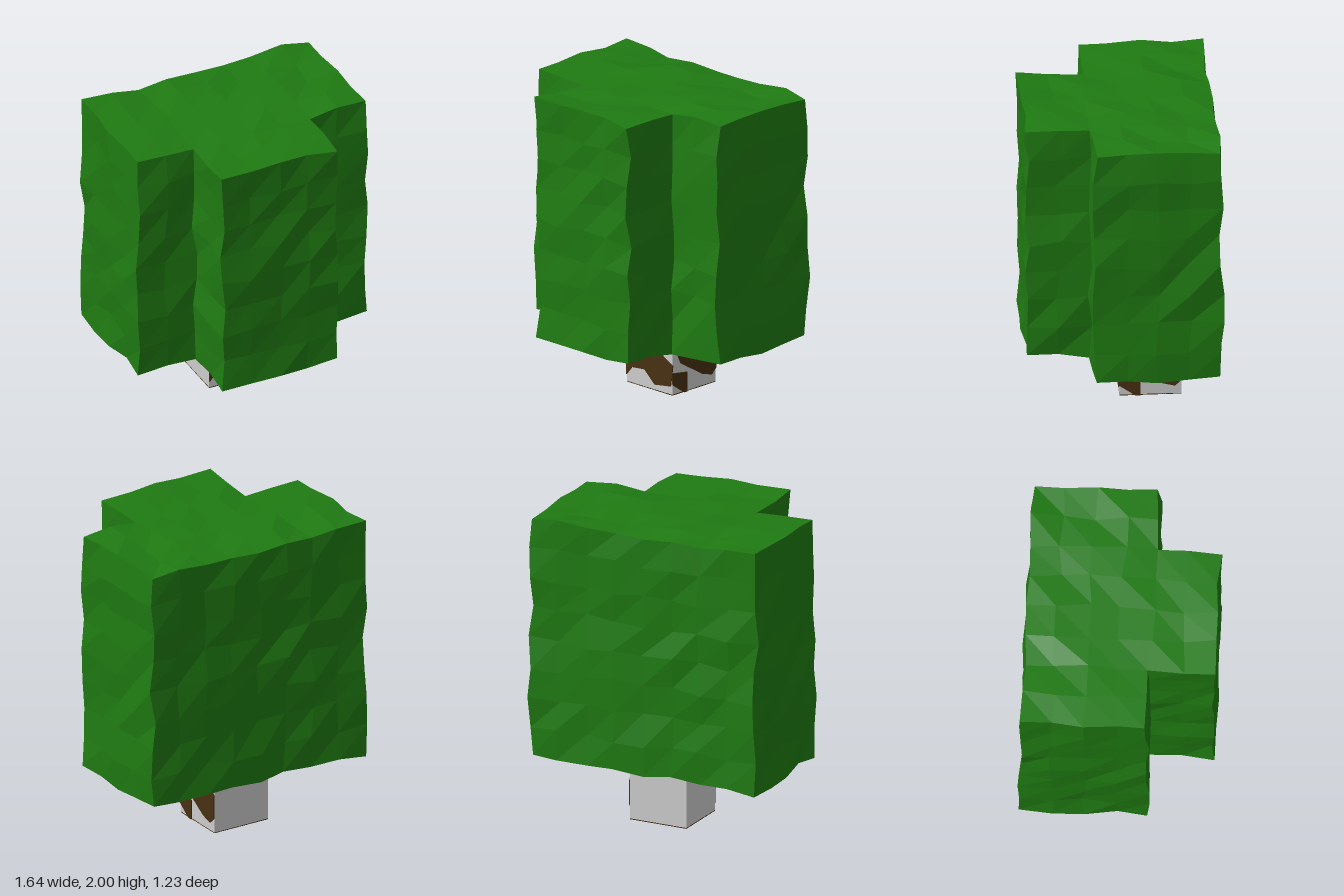
import * as THREE from 'three';

const leafMat = new THREE.MeshStandardMaterial({ color: 0x1f7a12, flatShading: true });
const barkMat = new THREE.MeshStandardMaterial({ color: 0x483012, flatShading: true });
const greyMat = new THREE.MeshStandardMaterial({ color: 0xcccccc, flatShading: true });

// Repeatable value in -1..1 for a point, so shared corners move together
function hash(x, y, z, k) {
  const s = Math.sin(Math.round(x * 100) * 12.99 + Math.round(y * 100) * 78.23 + Math.round(z * 100) * 37.72 + k * 11.13) * 43758.5453;
  return (s - Math.floor(s)) * 2 - 1;
}

// Box divided into 0.2 cells with every grid point nudged a little
function roughBox(name, min, max, amount) {
  const size = max.map((v, i) => v - min[i]);
  const cells = size.map((v) => Math.max(1, Math.round(v / 0.2)));
  const geo = new THREE.BoxGeometry(...size, ...cells);
  geo.translate(...min.map((v, i) => (v + max[i]) / 2));
  const p = geo.attributes.position;
  for (let i = 0; i < p.count; i++) {
    const x = p.getX(i), y = p.getY(i), z = p.getZ(i);
    p.setXYZ(i, x + amount * hash(x, y, z, 1), y + amount * hash(x, y, z, 2), z + amount * hash(x, y, z, 3));
  }
  geo.computeVertexNormals();
  const mesh = new THREE.Mesh(geo, leafMat);
  mesh.name = name;
  return mesh;
}

// Raised bark patch: an outline in the plane of a trunk face
function barkPatch(name, points, position, turn) {
  const shape = new THREE.Shape(points.map(([x, y]) => new THREE.Vector2(x, y)));
  const geo = new THREE.ExtrudeGeometry(shape, { depth: 0.008, bevelEnabled: false });
  const mesh = new THREE.Mesh(geo, barkMat);
  mesh.name = name;
  mesh.position.set(...position);
  mesh.rotation.y = turn;
  return mesh;
}

export function createModel() {
  const tree = new THREE.Group();
  tree.name = 'blockyTree';

  // Foliage: wide block with a narrower block in front
  tree.add(roughBox('mainFoliage', [-0.8, 0.39, -0.6], [0.8, 1.98, 0.2], 0.018));
  tree.add(roughBox('frontFoliage', [-0.4, 0.39, 0], [0.4, 1.98, 0.6], 0.018));

  // Trunk core
  const trunk = new THREE.Group();
  trunk.name = 'trunk';
  const core = new THREE.Mesh(new THREE.BoxGeometry(0.4, 0.44, 0.39), greyMat);
  core.name = 'trunkCore';
  core.position.set(0, 0.225, -0.195);
  trunk.add(core);

  // Dark underside
  const base = new THREE.Mesh(new THREE.BoxGeometry(0.4, 0.006, 0.39), barkMat);
  base.name = 'trunkBase';
  base.position.set(0, 0.003, -0.195);
  trunk.add(base);

  // Bark on the front face
  trunk.add(barkPatch('frontBark', [
    [-0.2, 0.05], [-0.15, 0.11], [-0.04, 0.12], [0.05, 0.04], [0.19, 0.06], [0.21, 0.2],
    [0.07, 0.27], [0, 0.37], [0.03, 0.4], [-0.2, 0.4], [-0.21, 0.29], [-0.16, 0.28], [-0.11, 0.19], [-0.2, 0.2],
  ], [0, 0, 0], 0));
  trunk.add(barkPatch('frontBarkChip', [[0.11, 0.4], [0.2, 0.34], [0.2, 0.4]], [0, 0, 0], 0));

  // Bark on the left face
  trunk.add(barkPatch('sideBark', [
    [0.04, 0.27], [0.07, 0.36], [0.13, 0.4], [0.24, 0.4], [0.39, 0.26], [0.39, 0.1],
    [0.35, 0.06], [0.27, 0.08], [0.07, 0.2],
  ], [0.2, 0, 0], Math.PI / 2));
  trunk.add(barkPatch('sideBarkChip', [
    [-0.01, 0.15], [0.13, 0.13], [0.13, 0], [0.1, 0], [0, 0.07],
  ], [0.2, 0, 0], Math.PI / 2));

  // Small chip on the back face
  trunk.add(barkPatch('backBarkChip', [[-0.08, 0.4], [-0.06, 0.33], [0.05, 0.4]], [0, 0, -0.39], Math.PI));
  tree.add(trunk);

  return tree;
}
